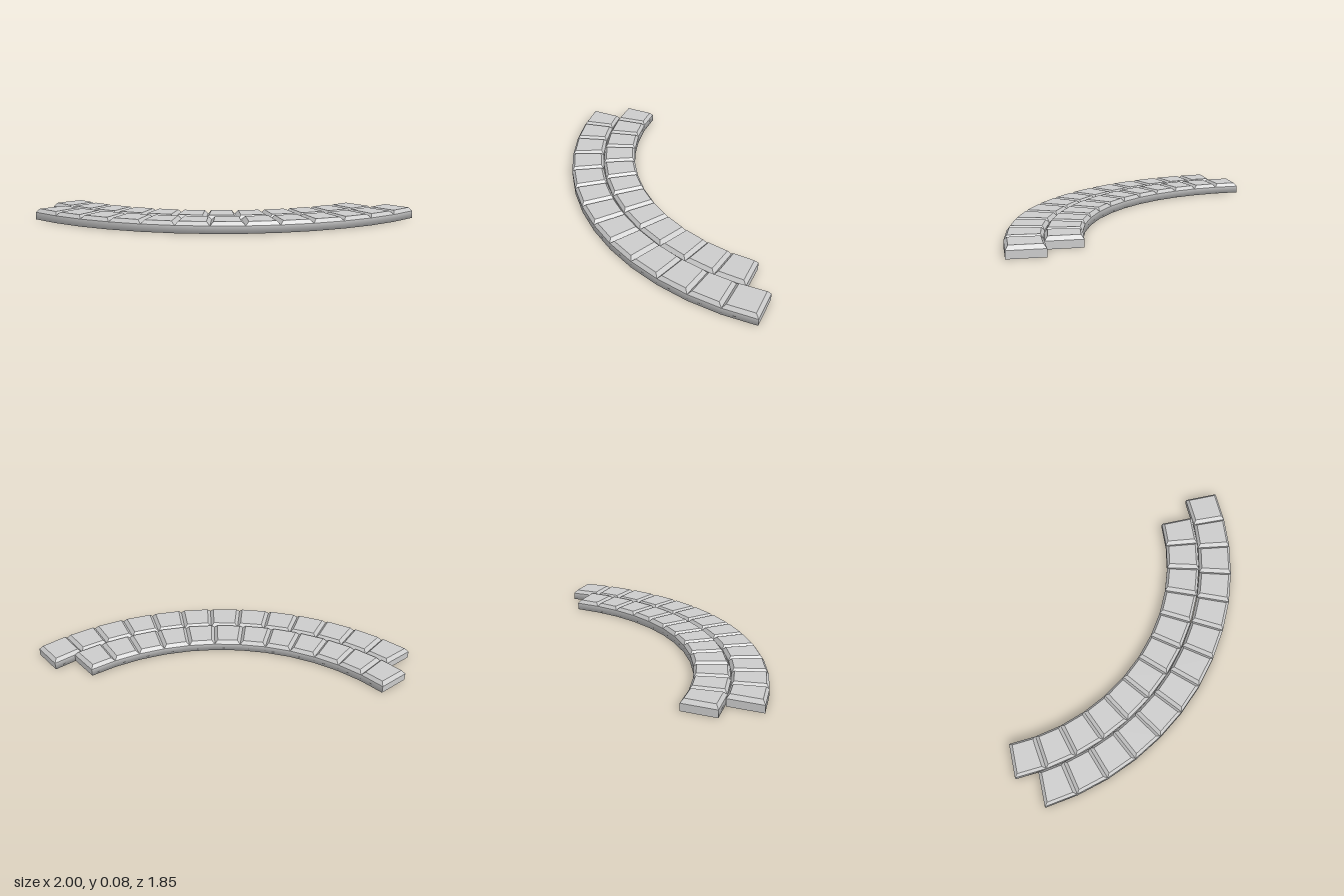
import * as THREE from 'three';
import { mergeGeometries } from 'three/addons/utils/BufferGeometryUtils.js';

const CX = 0.843, CZ = -0.924;      // common centre of both arcs
const WALL = 0.05, TOP = 0.075;     // top of the walls, top of the tiles
const END_BEVEL = 0.022, SIDE_BEVEL = 0.018;

// Indexed geometry from points and quads
function quadGeometry(points, quads) {
  const g = new THREE.BufferGeometry();
  g.setFromPoints(points);
  g.setIndex(quads.flatMap(([a, b, c, d]) => [a, b, c, a, c, d]));
  g.computeVertexNormals();
  return g;
}

function flat(geometry) {
  const g = geometry.toNonIndexed();
  g.computeVertexNormals();
  return g;
}

const atHeight = (p, y) => new THREE.Vector3(p.x, y, p.z);

// Inner and outer plan points at each joint; both ends are cut square to the axes
function makeJoints(inner, outer, count, offset) {
  const start = Math.asin(offset / outer);
  const joints = [];
  for (let i = 0; i <= count; i++) {
    const angle = start + (i / count) * Math.PI / 2;
    joints.push([inner, outer].map((r) => {
      const along = Math.sqrt(r * r - offset * offset);
      if (i === 0) return new THREE.Vector3(CX - along, 0, CZ + offset);
      if (i === count) return new THREE.Vector3(CX + offset, 0, CZ + along);
      return new THREE.Vector3(CX - r * Math.cos(angle), 0, CZ + r * Math.sin(angle));
    }));
  }
  return joints;
}

// Side walls and underside, smooth along the arc
function makeBase(joints) {
  const points = [], quads = [];
  joints.forEach(([a, b], i) => {
    points.push(atHeight(a, WALL), atHeight(a, 0), atHeight(b, 0), atHeight(b, WALL));
    if (i === 0) return;
    const p = (i - 1) * 4, q = i * 4;
    for (let k = 0; k < 3; k++) quads.push([p + k, q + k, q + k + 1, p + k + 1]);
  });
  return quadGeometry(points, quads);
}

// Square ends of a row
function makeEnds(joints) {
  const ends = [joints[0], [...joints[joints.length - 1]].reverse()];
  return mergeGeometries(ends.map(([a, b]) => quadGeometry(
    [atHeight(a, 0), atHeight(b, 0), atHeight(b, WALL), atHeight(a, WALL)], [[0, 1, 2, 3]])));
}

// Bevelled top of one tile; neighbouring bevels meet in a V groove
function makeTile([a, b], [d, c]) {
  const inset = (p, across, along) => {
    const u = across.clone().sub(p).setLength(SIDE_BEVEL);
    const v = along.clone().sub(p).setLength(END_BEVEL);
    return atHeight(p.clone().add(u).add(v), TOP);
  };
  const points = [a, b, c, d].map((p) => atHeight(p, WALL));
  points.push(inset(a, b, d), inset(b, a, c), inset(c, d, b), inset(d, c, a));
  const quads = [[4, 5, 6, 7]];
  for (let k = 0; k < 4; k++) {
    const n = (k + 1) % 4;
    quads.push([k, n, n + 4, k + 4]);
  }
  return flat(quadGeometry(points, quads));
}

function makeRow(name, inner, outer, count, offset, material) {
  const row = new THREE.Group();
  row.name = name;
  const add = (part, geometry) => {
    const mesh = new THREE.Mesh(geometry, material);
    mesh.name = part;
    row.add(mesh);
  };
  const joints = makeJoints(inner, outer, count, offset);
  add('base', makeBase(joints));
  add('ends', makeEnds(joints));
  const tiles = [];
  for (let i = 0; i < count; i++) tiles.push(makeTile(joints[i], joints[i + 1]));
  add('bevelledTiles', mergeGeometries(tiles));
  return row;
}

export function createModel() {
  const model = new THREE.Group();
  model.name = 'curvedTileEdging';
  const material = new THREE.MeshStandardMaterial({ color: 0xcccccc });
  model.add(makeRow('outerRow', 1.62, 1.85, 13, 0.157, material));
  model.add(makeRow('innerRow', 1.387, 1.617, 12, 0, material));
  return model;
}
